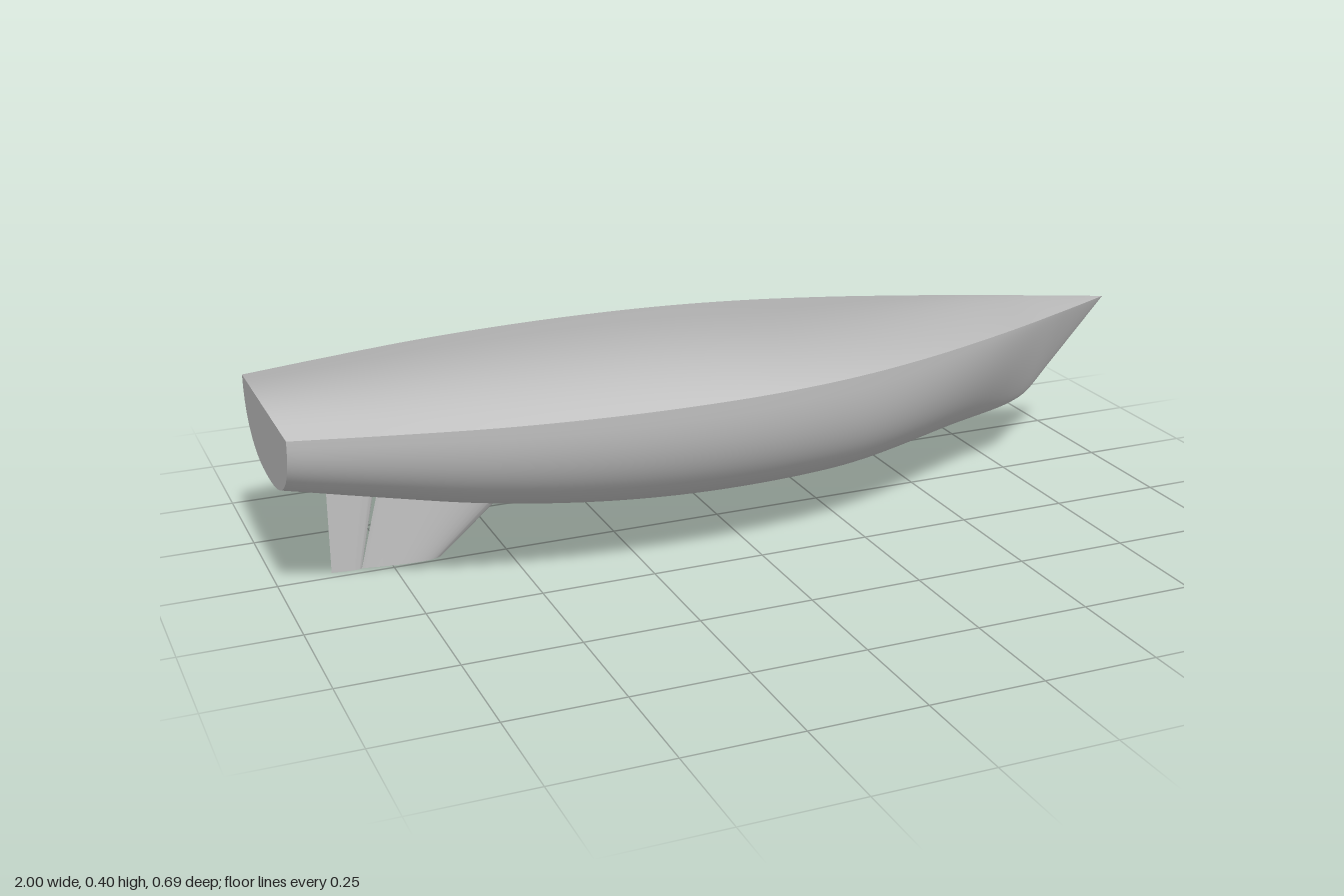
import * as THREE from 'three';
import { toCreasedNormals } from 'three/addons/utils/BufferGeometryUtils.js';

const DECK = 0.4;
const SIDE = 24;

// Hull lines: x, keel height, half beam at the deck
const lines = new THREE.CatmullRomCurve3([
  [-1, 0.245, 0.22], [-0.8, 0.203, 0.268], [-0.6, 0.163, 0.31], [-0.4, 0.134, 0.335],
  [-0.2, 0.116, 0.344], [0, 0.109, 0.336], [0.2, 0.11, 0.305], [0.4, 0.12, 0.25],
  [0.6, 0.136, 0.177], [0.7, 0.15, 0.136], [0.76, 0.165, 0.11], [0.8, 0.185, 0.092],
  [0.86, 0.248, 0.065], [0.93, 0.324, 0.033], [1, DECK, 0],
].map((p) => new THREE.Vector3(...p)));

// Half section from keel to deck: round amidships, V-shaped at the bow
function section(t) {
  const { x, y: keel, z: beam } = lines.getPoint(t);
  const power = 2 / (2.4 - 1.3 * THREE.MathUtils.smoothstep(x, 0.2, 0.88));
  const pts = [];
  for (let i = 0; i <= SIDE; i++) {
    const a = (i / SIDE) * Math.PI / 2;
    const c = i === SIDE ? 0 : Math.cos(a);
    pts.push([x, DECK - (DECK - keel) * c ** power, beam * Math.sin(a) ** power]);
  }
  return pts;
}

// One side of the hull, lofted through the sections
function hullSide(sign) {
  const stations = 84, pos = [], idx = [];
  for (let s = 0; s <= stations; s++) {
    for (const [x, y, z] of section(s / stations)) pos.push(x, y, z * sign);
  }
  for (let s = 0; s < stations; s++) {
    for (let i = 0; i < SIDE; i++) {
      const a = s * (SIDE + 1) + i, b = a + SIDE + 1;
      if (sign > 0) idx.push(a, b, a + 1, b, b + 1, a + 1);
      else idx.push(a, a + 1, b, b, a + 1, b + 1);
    }
  }
  const g = new THREE.BufferGeometry();
  g.setAttribute('position', new THREE.Float32BufferAttribute(pos, 3));
  g.setIndex(idx);
  g.computeVertexNormals();
  return g;
}

// Flat stern panel
function transom() {
  const half = section(0).map(([, y, z]) => new THREE.Vector2(z, y));
  const other = half.slice(1).reverse().map((p) => new THREE.Vector2(-p.x, p.y));
  const g = new THREE.ShapeGeometry(new THREE.Shape([...other, ...half]));
  g.rotateY(-Math.PI / 2);
  g.translate(-1, 0, 0);
  return g;
}

// Upright foil tapering between a bottom and a top chord: [front x, back x, half thickness]
function foil(halfThickness, bottom, top, height) {
  const n = 20, upper = [], lower = [];
  for (let i = 0; i <= n; i++) {
    const u = (1 - Math.cos((i / n) * Math.PI)) / 2;
    upper.push(new THREE.Vector2(u, halfThickness(u)));
    if (i > 0 && i < n) lower.unshift(new THREE.Vector2(u, -halfThickness(u)));
  }
  const g = new THREE.ExtrudeGeometry(new THREE.Shape([...upper, ...lower]), { depth: 1, bevelEnabled: false });
  g.rotateX(-Math.PI / 2);
  const p = g.attributes.position;
  for (let i = 0; i < p.count; i++) {
    const u = p.getX(i), v = p.getY(i);
    const [front, back, thick] = bottom.map((b, k) => THREE.MathUtils.lerp(b, top[k], v));
    // mirrored along x, so z is mirrored too to keep faces outward
    p.setXYZ(i, front + (back - front) * u, v * height, -p.getZ(i) * thick - 0.024);
  }
  return toCreasedNormals(g, 0.7);
}

export function createModel() {
  const model = new THREE.Group();
  model.name = 'boatHull';
  const grey = new THREE.MeshStandardMaterial({ color: 0xc0c0c0, side: THREE.DoubleSide });
  grey.name = 'light grey';
  const add = (name, geometry) => {
    const mesh = new THREE.Mesh(geometry, grey);
    mesh.name = name;
    model.add(mesh);
  };

  add('hullFrontSide', hullSide(1));
  add('hullBackSide', hullSide(-1));
  add('transom', transom());

  // Skeg: blunt nose, thin tail
  const skegShape = (u) => 2 * (1.4845 * Math.sqrt(u) - 0.4 * u - 1.95 * u * u + 1.25 * u ** 3 - 0.34 * u ** 4);
  const peak = Math.max(...Array.from({ length: 101 }, (_, i) => skegShape(i / 100)));
  add('skeg', foil((u) => Math.max(skegShape(u) / peak, 0.12 * u),
    [-0.64, -0.815, 0.0175], [-0.405, -0.765, 0.0265], 0.2));

  // Rudder: slim blade behind the skeg, standing a little higher
  add('rudder', foil((u) => Math.sin(Math.PI * Math.sqrt(u)) + 0.1 * (1 - u),
    [-0.815, -0.88, 0.005], [-0.765, -0.88, 0.007], 0.245));
  return model;
}
